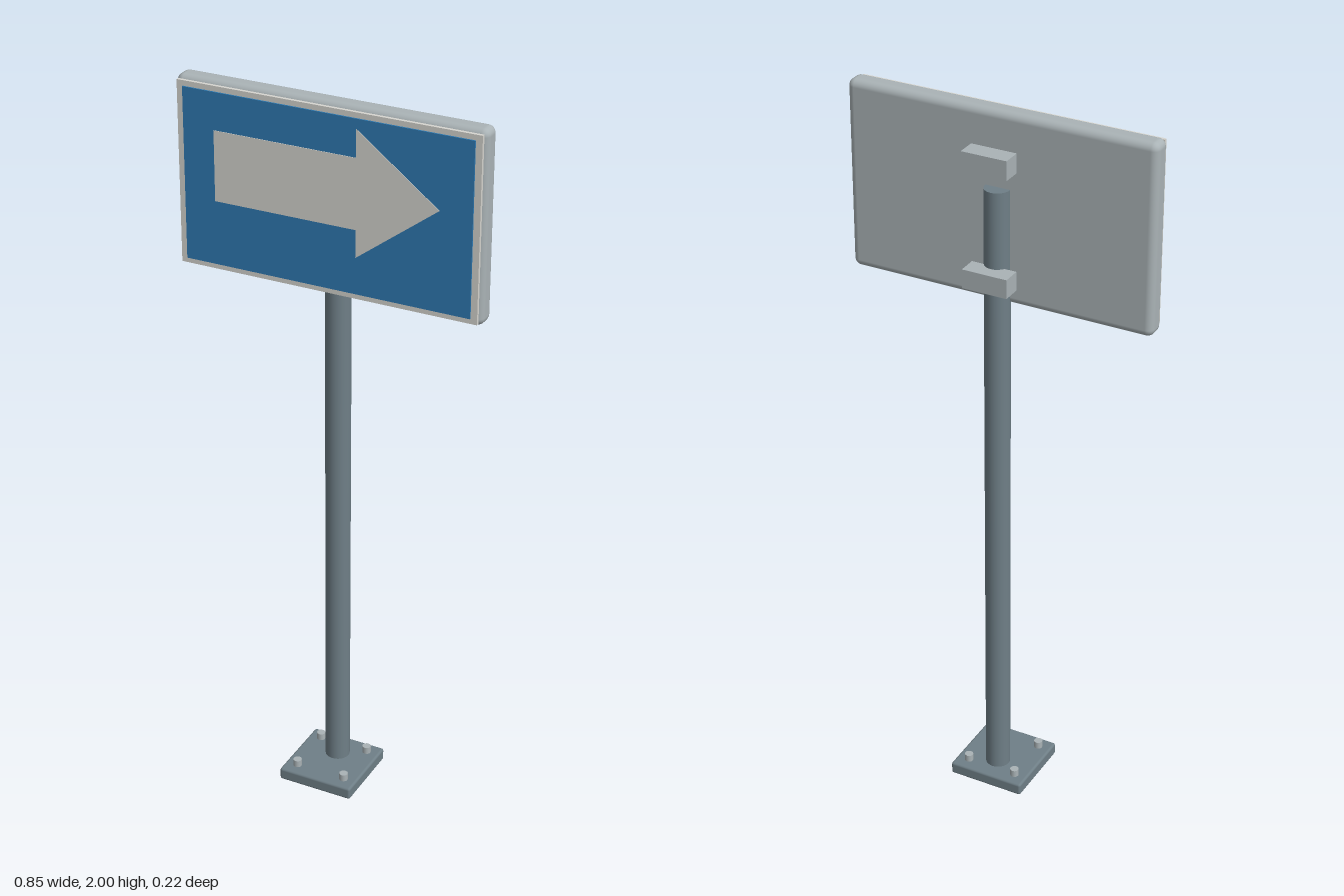
import * as THREE from 'three';
import { RoundedBoxGeometry } from 'three/addons/geometries/RoundedBoxGeometry.js';

const material = (name, color) => {
  const m = new THREE.MeshStandardMaterial({ color });
  m.name = name;
  return m;
};

export function createModel() {
  const steel = material('post steel', 0x6f7f87);
  const panelGrey = material('panel grey', 0xaab3b6);
  const blue = material('sign blue', 0x2f7ab2);
  const white = material('sign white', 0xd6d5cf);

  const group = new THREE.Group();
  group.name = 'directionSign';
  const add = (name, geometry, mat, x, y, z) => {
    const mesh = new THREE.Mesh(geometry, mat);
    mesh.name = name;
    mesh.position.set(x, y, z);
    group.add(mesh);
    return mesh;
  };

  // Base plate with four bolts
  add('basePlate', new RoundedBoxGeometry(0.218, 0.036, 0.218, 2, 0.007), steel, 0, 0.018, 0);
  for (const x of [-0.072, 0.072]) {
    for (const z of [-0.072, 0.072]) {
      add('bolt', new THREE.CylinderGeometry(0.012, 0.012, 0.025, 12), panelGrey, x, 0.0435, z);
    }
  }

  // Post behind the panel
  add('post', new THREE.CylinderGeometry(0.034, 0.034, 1.77, 24), steel, 0, 0.915, -0.034);

  // Rear clamps
  for (const y of [1.567, 1.885]) {
    add('clamp', new THREE.BoxGeometry(0.125, 0.052, 0.052), panelGrey, 0, y, -0.077);
  }

  // Panel, white border and blue face
  const cy = 1.743;
  add('panel', new RoundedBoxGeometry(0.85, 0.514, 0.058, 3, 0.02), panelGrey, 0, cy, -0.002);
  add('border', new THREE.BoxGeometry(0.83, 0.494, 0.009), white, 0, cy, 0.0315);
  add('blueFace', new THREE.BoxGeometry(0.795, 0.465, 0.005), blue, 0, cy, 0.0375);

  // Arrow pointing to +x
  const arrow = new THREE.Shape([
    [-0.31, -0.095], [0.085, -0.095], [0.085, -0.17], [0.31, 0],
    [0.085, 0.17], [0.085, 0.095], [-0.31, 0.095],
  ].map(([x, y]) => new THREE.Vector2(x, y)));
  add('arrow', new THREE.ExtrudeGeometry(arrow, { depth: 0.002, bevelEnabled: false }), white, 0, 1.78, 0.0395);

  return group;
}
